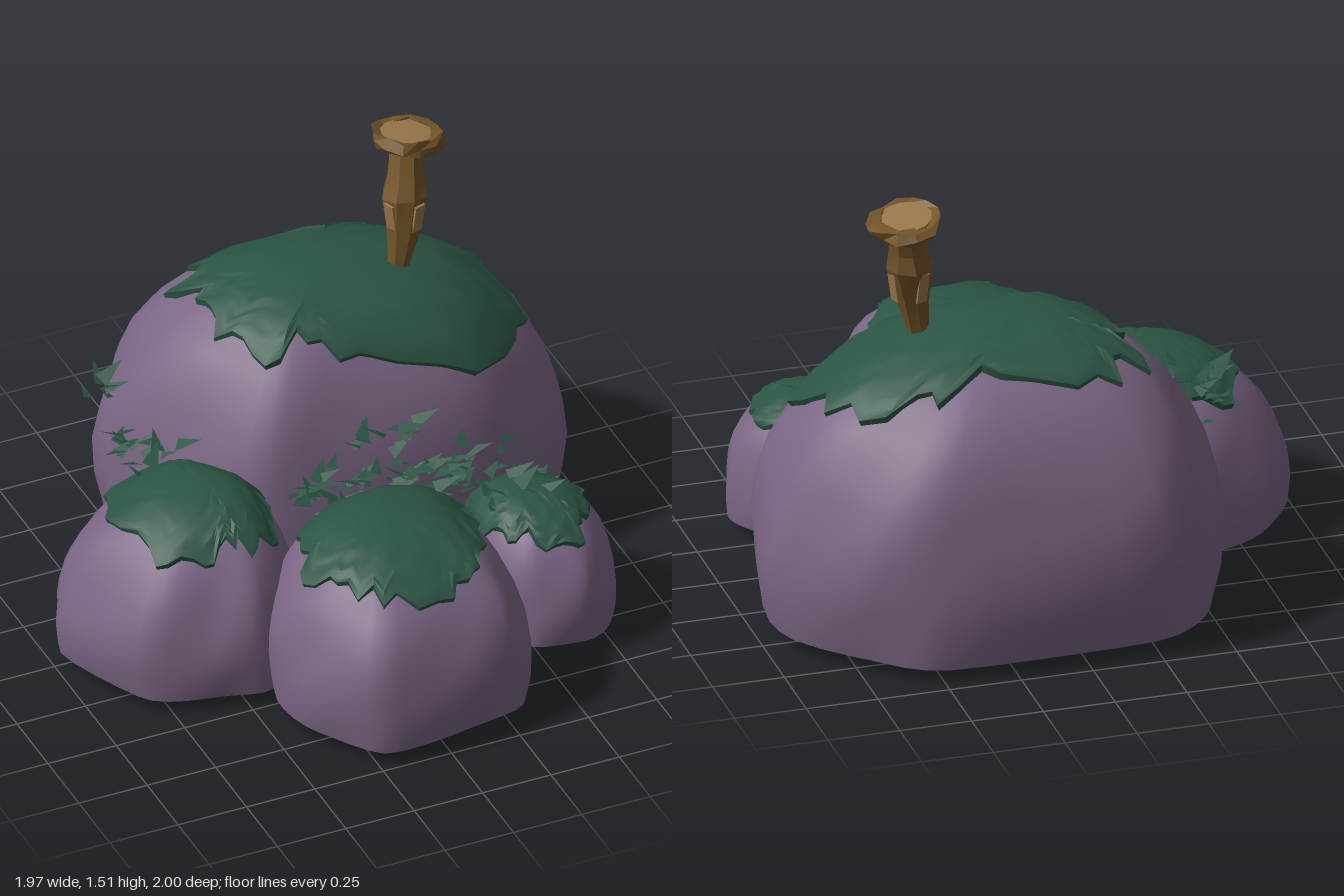
import * as THREE from 'three';
import { toCreasedNormals } from 'three/addons/utils/BufferGeometryUtils.js';

const SIDES = 44, FLOOR = 0.05;

function seeded(seed) {
  return () => {
    seed = (seed * 16807) % 2147483647;
    return seed / 2147483647;
  };
}

// Skin over a stack of equal-length rings, listed from bottom to top
function loft(rings, crease) {
  const n = rings[0].length, pos = [];
  const tri = (a, b, c) => {
    if (a.distanceTo(b) < 1e-6 || b.distanceTo(c) < 1e-6 || a.distanceTo(c) < 1e-6) return;
    for (const p of [a, b, c]) pos.push(p.x, p.y, p.z);
  };
  for (let i = 0; i < rings.length - 1; i++) {
    for (let j = 0; j < n; j++) {
      const k = (j + 1) % n;
      tri(rings[i][j], rings[i + 1][j], rings[i][k]);
      tri(rings[i][k], rings[i + 1][j], rings[i + 1][k]);
    }
  }
  const g = new THREE.BufferGeometry();
  g.setAttribute('position', new THREE.Float32BufferAttribute(pos, 3));
  return toCreasedNormals(g, crease);
}

const ring = fn => Array.from({ length: SIDES }, (_, j) => fn(j));

// Steps from a start height to the top, packed closer near the top
const rise = (from, f) => from + (1 - from) * Math.sin(f * Math.PI / 2);

// Closed ground outline through [x, z] corners, sampled once per side
function outline(corners) {
  const curve = new THREE.CatmullRomCurve3(
    corners.map(([x, z]) => new THREE.Vector3(x, 0, z)), true, 'catmullrom', 0.35);
  return ring(j => curve.getPoint(j / SIDES));
}

// Boulder surface: t is height from 0 to 1; the outline shrinks towards the peak
function surfacePoint(rock, t, j, grow = 0) {
  const u = (t - 0.3) / 0.7, rim = rock.rim[j], [px, pz] = rock.peak;
  const width = u < 0
    ? 1 - 0.35 * u * u
    : (1 - Math.min(1, u) ** 2.5) ** 0.42 * (1 - rock.taper * u);
  const dx = rim.x - px, dz = rim.z - pz;
  const k = width * (1 + 0.012 * Math.sin(j * 0.9 + t * 9)) + grow * (1 - t * t) / Math.hypot(dx, dz);
  return new THREE.Vector3(px + dx * k, t * rock.height + grow * t, pz + dz * k);
}

function boulderGeometry(rock) {
  const steps = 11;
  const under = new THREE.Vector3(rock.peak[0], rock.bottom, rock.peak[1]);
  const rings = [ring(() => under)];
  for (let i = 0; i <= steps; i++) {
    const t = rise(FLOOR / rock.height, i / steps);
    rings.push(ring(j => surfacePoint(rock, t, j)));
  }
  return loft(rings, 0.6);
}

// Moss cap: a shell just above the boulder, with a ragged hem
function mossGeometry(rock, rand) {
  const steps = 12;
  const hem = ring(j => {
    const a = j / SIDES * Math.PI * 2;
    const lobes = 0.03 * Math.sin(a * 4 + rock.phase) + 0.02 * Math.sin(a * 9 + 1);
    const dip = rock.dip * Math.max(0, Math.cos(a - rock.dipAngle)) ** 2;
    return (rock.hem - dip) / rock.height + lobes + (rand() - 0.5) * 0.07;
  });
  const rings = [ring(j => surfacePoint(rock, hem[j], j, -0.015))];
  for (let i = 0; i < steps; i++) {
    rings.push(ring(j =>
      surfacePoint(rock, rise(hem[j], i / steps), j, 0.012 + rand() * 0.016 * (1 - i / steps))));
  }
  const top = surfacePoint(rock, 1, 0, 0.016);
  rings.push(ring(() => top));
  return loft(rings, 0.7);
}

// Loose triangular blades scattered around a centre within a spread
function bladesGeometry(patches, rand) {
  const pos = [];
  for (const { count, centre, spread } of patches) {
    for (let i = 0; i < count; i++) {
      const [x, y, z] = centre.map((c, k) => c + (rand() - 0.5) * spread[k]);
      const a = rand() * Math.PI * 2, l = 0.04 + rand() * 0.06, w = l * 0.3;
      const c = Math.cos(a), s = Math.sin(a);
      pos.push(x - s * w, y, z + c * w, x + s * w, y + l * 0.2, z - c * w, x + c * l, y + l * 0.5, z + s * l);
    }
  }
  const g = new THREE.BufferGeometry();
  g.setAttribute('position', new THREE.Float32BufferAttribute(pos, 3));
  g.computeVertexNormals();
  return g;
}

// Stack of wobbly rings [y, radius] that follow the leaning stalk
function stalkGeometry(levels, sides, wobble, tilt, rand) {
  return loft(levels.map(([y, r]) => {
    const lean = Math.min(1, (y - 0.94) / 0.5);
    return Array.from({ length: sides }, (_, j) => {
      const a = j / sides * Math.PI * 2, q = r * (1 + (rand() - 0.5) * wobble);
      return new THREE.Vector3(
        0.4 + 0.08 * lean + Math.cos(a) * q,
        y + (rand() - 0.5) * wobble * 0.08 + tilt * q * (Math.sin(a) - Math.cos(a)),
        -0.34 - 0.085 * lean * lean + Math.sin(a) * q);
    });
  }), 0.3);
}

export function createModel() {
  const group = new THREE.Group();
  const mat = (name, color, side = THREE.FrontSide) => {
    const m = new THREE.MeshStandardMaterial({ color, side });
    m.name = name;
    return m;
  };
  const stone = mat('purple stone', 0x7b6684);
  const moss = mat('green moss', 0x2b5443, THREE.DoubleSide);
  const bark = mat('brown bark', 0x745429);
  const wood = mat('light wood', 0x9a784b);
  const rand = seeded(4217);
  const add = (name, geometry, material) => {
    const m = new THREE.Mesh(geometry, material);
    m.name = name;
    group.add(m);
  };

  // Boulders: rim is the widest outline, peak is [x, z] of the summit
  const rocks = [
    { name: 'largeBoulder', peak: [0.1, -0.37], height: 1.045, bottom: 0, taper: 0.1,
      phase: 0.6, hem: 0.94, dip: 0.19, dipAngle: 0.6,
      rim: outline([[0.98, -0.52], [0.92, -0.1], [0.62, 0.11], [0.05, 0.12], [-0.28, 0.08], [-0.48, -0.2],
        [-0.58, -0.52], [-0.5, -0.78], [-0.26, -0.98], [0.5, -0.98], [0.76, -0.83]]) },
    { name: 'rightBoulder', peak: [-0.48, 0.08], height: 0.64, bottom: 0.04, taper: 0.2,
      phase: 2.1, hem: 0.53, dip: 0.06, dipAngle: -0.9,
      rim: outline([[-0.18, 0.15], [-0.27, 0.4], [-0.45, 0.5], [-0.62, 0.46], [-0.85, 0.37], [-0.99, 0],
        [-0.85, -0.25], [-0.62, -0.37], [-0.42, -0.35], [-0.22, -0.1]]) },
    { name: 'frontBoulder', peak: [-0.02, 0.48], height: 0.645, bottom: 0.02, taper: 0.08,
      phase: 4, hem: 0.54, dip: 0.08, dipAngle: -1.2,
      rim: outline([[0.42, 0.45], [0.4, 0.73], [0.31, 0.92], [0.1, 0.98], [-0.24, 0.99], [-0.4, 0.78],
        [-0.45, 0.55], [-0.36, 0.3], [-0.15, 0.15], [0.18, 0.12], [0.37, 0.24]]) },
    { name: 'leftBoulder', peak: [0.55, 0.33], height: 0.49, bottom: 0.04, taper: 0.08,
      phase: 5.2, hem: 0.41, dip: 0.07, dipAngle: -2,
      rim: outline([[0.86, 0.36], [0.79, 0.58], [0.66, 0.67], [0.48, 0.63], [0.37, 0.5], [0.35, 0.3],
        [0.42, 0.14], [0.6, 0.1], [0.76, 0.18]]) },
  ];
  for (const rock of rocks) {
    add(rock.name, boulderGeometry(rock), stone);
    add(rock.name + 'Moss', mossGeometry(rock, rand), moss);
  }

  // Blades and flakes growing in the gaps between the boulders
  add('mossBlades', bladesGeometry([
    { count: 110, centre: [0.12, 0.51, 0.18], spread: [0.6, 0.2, 0.14] },
    { count: 60, centre: [0.5, 0.43, 0.24], spread: [0.3, 0.16, 0.32] },
    { count: 12, centre: [0.1, 0.68, 0.15], spread: [0.4, 0.09, 0.06] },
    { count: 22, centre: [-0.58, 0.6, -0.2], spread: [0.2, 0.14, 0.36] },
    { count: 6, centre: [-0.62, 0.7, -0.44], spread: [0.08, 0.08, 0.14] },
  ], rand), moss);

  // Bent stalk with a flared, splintered rim and a pale cut top
  add('stalk', stalkGeometry(
    [[0.94, 0.035], [1.02, 0.038], [1.15, 0.06], [1.27, 0.08], [1.33, 0.066], [1.44, 0.055]],
    8, 0.2, 0, rand), bark);
  add('stalkRim', stalkGeometry(
    [[1.42, 0.05], [1.43, 0.1], [1.455, 0.122], [1.485, 0.112], [1.48, 0.085], [1.455, 0.08]],
    12, 0.25, 0.12, rand), bark);
  add('stalkCutTop', stalkGeometry([[1.445, 0.092], [1.48, 0.09], [1.483, 0]], 12, 0, 0.12, rand), wood);

  // Light strips of exposed wood on the stalk
  for (let i = 0; i < 4; i++) {
    const strip = new THREE.BoxGeometry(0.04, 0.11, 0.008);
    strip.rotateX(0.15);
    strip.translate(0, 0, 0.069);
    strip.rotateY(0.3 + i * 1.6);
    strip.translate(0.445, 1.21, -0.365);
    add('woodStrip', strip, wood);
  }
  return group;
}
